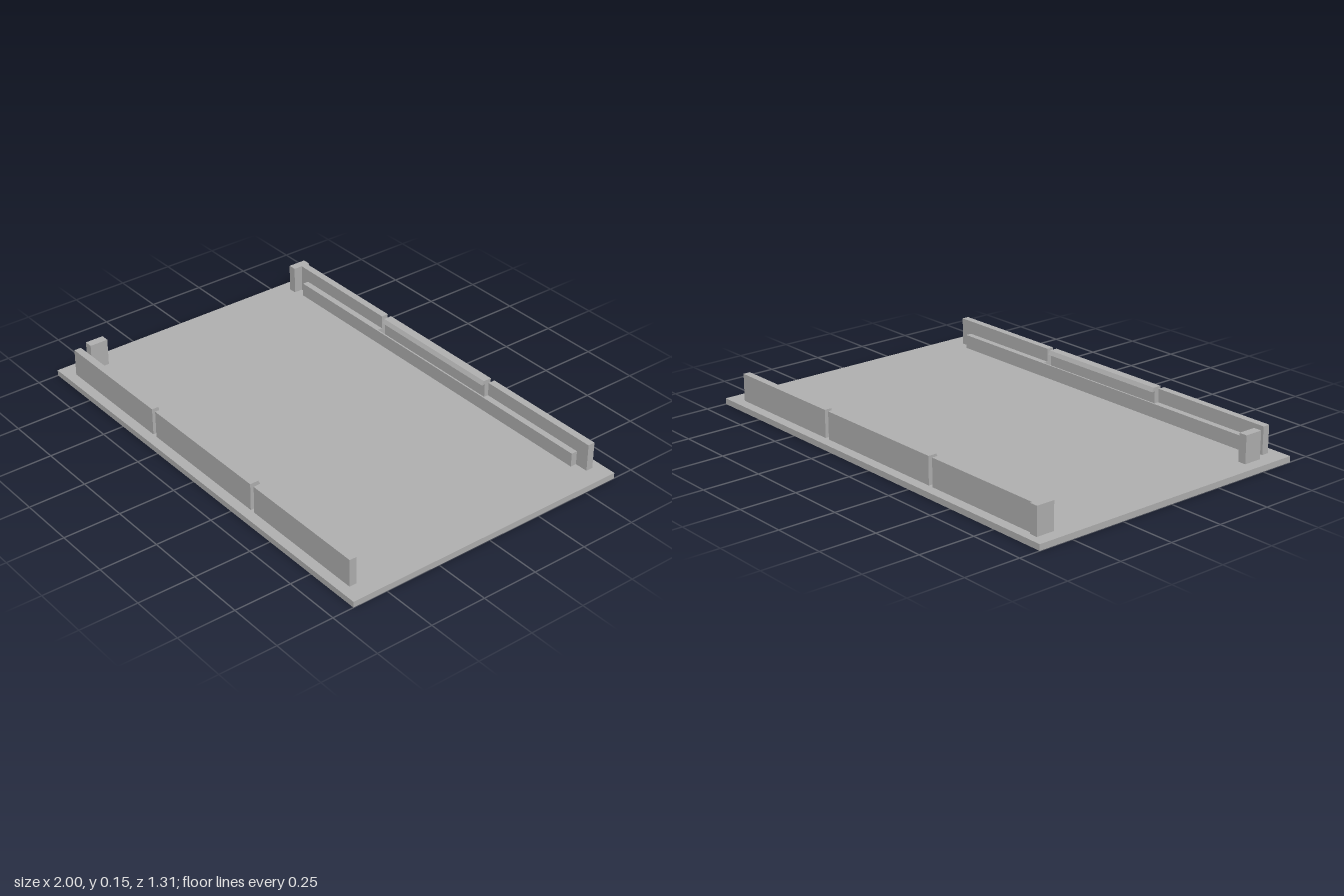
import * as THREE from 'three';

const BASE_TOP = 0.026, WALL_TOP = 0.146, LEDGE_TOP = 0.087;
const WALL_OUT = 0.612, WALL_IN = 0.58, LEDGE_IN = 0.552, CHANNEL_IN = 0.559;
const WALL_END = 0.922, LEDGE_END = 0.863, SLOT_OUT = 0.342, CLIP_END = 0.32;

export function createModel() {
  const model = new THREE.Group();
  model.name = 'snapTray';
  const grey = new THREE.MeshStandardMaterial({ color: 0xb2b2b2 });
  grey.name = 'matteGrey';

  const add = (parent, name, geometry) => {
    const mesh = new THREE.Mesh(geometry, grey);
    mesh.name = name;
    parent.add(mesh);
    return mesh;
  };

  // Box given by its extents on each axis
  const block = (parent, name, x0, x1, y0, y1, z0, z1) =>
    add(parent, name, new THREE.BoxGeometry(x1 - x0, y1 - y0, z1 - z0))
      .position.set((x0 + x1) / 2, (y0 + y1) / 2, (z0 + z1) / 2);

  const outline = (points) => new THREE.Shape(points.map(([a, b]) => new THREE.Vector2(a, b)));

  // Flat base plate
  block(model, 'basePlate', -1, 1, 0, BASE_TOP, -0.656, 0.656);

  // One long rail: two end walls, an inner ledge and a flexible clip between slots
  function rail(name) {
    const group = new THREE.Group();
    group.name = name;
    block(group, 'leftWall', SLOT_OUT, WALL_END, BASE_TOP, WALL_TOP, WALL_IN, WALL_OUT);
    block(group, 'rightWall', -WALL_END, -SLOT_OUT, BASE_TOP, WALL_TOP, WALL_IN, WALL_OUT);

    // Ledge in plan, thinned to a strip behind the clip
    const ledge = new THREE.ExtrudeGeometry(outline([
      [-LEDGE_END, LEDGE_IN], [LEDGE_END, LEDGE_IN], [LEDGE_END, WALL_IN], [SLOT_OUT, WALL_IN],
      [SLOT_OUT, CHANNEL_IN], [-SLOT_OUT, CHANNEL_IN], [-SLOT_OUT, WALL_IN], [-LEDGE_END, WALL_IN],
    ]), { depth: LEDGE_TOP - BASE_TOP, bevelEnabled: false });
    ledge.rotateX(Math.PI / 2).translate(0, LEDGE_TOP, 0);
    add(group, 'ledge', ledge);

    // Clip arm with a sloped hook, extruded along x (profile uses -z, y)
    const clip = new THREE.ExtrudeGeometry(outline([
      [-WALL_OUT, BASE_TOP], [-WALL_IN, BASE_TOP], [-WALL_IN, 0.128],
      [-0.565, 0.128], [-0.574, WALL_TOP], [-WALL_OUT, WALL_TOP],
    ]), { depth: 2 * CLIP_END, bevelEnabled: false });
    clip.rotateY(Math.PI / 2).translate(-CLIP_END, 0, 0);
    add(group, 'clip', clip);

    model.add(group);
    return group;
  }
  rail('frontRail');
  rail('backRail').rotation.y = Math.PI;

  // End stops at the right edge
  block(model, 'frontStop', -0.946, -0.909, BASE_TOP, WALL_TOP, 0.457, 0.54);
  block(model, 'backStop', -0.946, -0.909, BASE_TOP, WALL_TOP, -0.622, -0.54);

  return model;
}
